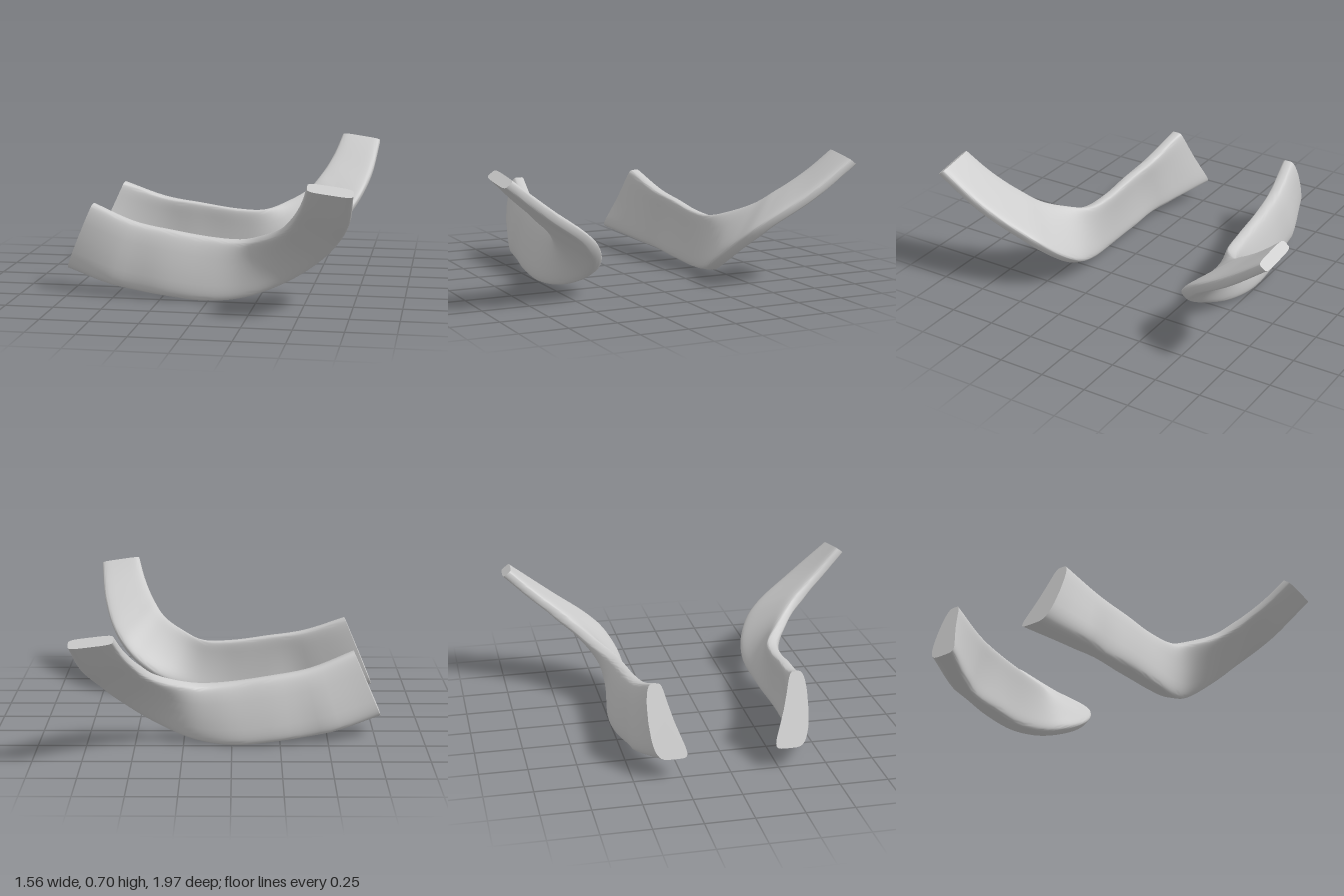
import * as THREE from 'three';
import { toCreasedNormals } from 'three/addons/utils/BufferGeometryUtils.js';

// Each station: upper edge xyz, lower edge xyz, upper thickness, lower thickness, tilt (degrees)
const STATIONS = [
  [-0.63, 0.47, 0.365, -0.78, 0.115, 0.295, 0.08, 0.18, 0],
  [-0.40, 0.385, 0.40, -0.50, 0.05, 0.41, 0.08, 0.14, 0],
  [-0.20, 0.35, 0.42, -0.22, 0.015, 0.45, 0.075, 0.125, 2],
  [0.01, 0.32, 0.43, 0.00, 0.0, 0.455, 0.075, 0.115, 5],
  [0.17, 0.315, 0.46, 0.20, 0.025, 0.42, 0.08, 0.10, 15],
  [0.29, 0.35, 0.54, 0.41, 0.11, 0.37, 0.075, 0.09, 30],
  [0.395, 0.405, 0.625, 0.56, 0.215, 0.40, 0.07, 0.08, 36],
  [0.465, 0.485, 0.73, 0.665, 0.33, 0.50, 0.07, 0.075, 37],
  [0.52, 0.58, 0.85, 0.745, 0.48, 0.72, 0.065, 0.07, 37],
  [0.56, 0.685, 0.965, 0.78, 0.655, 0.955, 0.06, 0.06, 37],
];
const STEPS = 48, RING = 40;

// Smooth curve through one column triple of the stations
const curve = (pick) => new THREE.CatmullRomCurve3(STATIONS.map((s) => new THREE.Vector3(...pick(s))));
const upper = curve((s) => s.slice(0, 3));
const lower = curve((s) => s.slice(3, 6));
const shape = curve((s) => s.slice(6, 9));

// Rounded-rectangle cross-section
const soften = (v, e) => Math.sign(v) * Math.pow(Math.abs(v), e);

function bandGeometry(side) {
  const pos = [], index = [];
  const put = (v) => pos.push(v.x, v.y, v.z * side);
  const tri = (a, b, c) => (side > 0 ? index.push(a, b, c) : index.push(a, c, b));
  const mids = [];

  for (let i = 0; i <= STEPS; i++) {
    const t = i / STEPS;
    const u = upper.getPoint(t), l = lower.getPoint(t), k = shape.getPoint(t);
    const tilt = THREE.MathUtils.degToRad(k.z);
    const normal = new THREE.Vector3(0, -Math.sin(tilt), Math.cos(tilt));
    const mid = u.clone().add(l).multiplyScalar(0.5);
    const half = u.clone().sub(l).multiplyScalar(0.5);
    mids.push(mid);
    for (let j = 0; j < RING; j++) {
      const a = (j / RING) * Math.PI * 2;
      const across = soften(Math.cos(a), 0.45);
      const thick = THREE.MathUtils.lerp(k.y, k.x, (across + 1) / 2) / 2;
      // the straight part bows outward a little
      const bow = 0.018 * (1 - across * across) * (1 - t);
      put(mid.clone().addScaledVector(half, across)
        .addScaledVector(normal, thick * soften(Math.sin(a), 0.4) + bow));
    }
  }
  for (let i = 0; i < STEPS; i++) {
    for (let j = 0; j < RING; j++) {
      const a = i * RING + j, b = i * RING + (j + 1) % RING;
      tri(a, b, b + RING);
      tri(a, b + RING, a + RING);
    }
  }
  // End caps
  const first = pos.length / 3, end = STEPS * RING;
  put(mids[0]);
  put(mids[STEPS]);
  for (let j = 0; j < RING; j++) {
    const n = (j + 1) % RING;
    tri(first, n, j);
    tri(first + 1, end + j, end + n);
  }
  const geometry = new THREE.BufferGeometry();
  geometry.setAttribute('position', new THREE.Float32BufferAttribute(pos, 3));
  geometry.setIndex(index);
  return toCreasedNormals(geometry, 0.7);
}

export function createModel() {
  const model = new THREE.Group();
  model.name = 'curvedBandPair';
  const material = new THREE.MeshStandardMaterial({ color: 0xcccccc });
  // Two mirrored twisting bands
  for (const [name, side] of [['frontBand', 1], ['backBand', -1]]) {
    const band = new THREE.Mesh(bandGeometry(side), material);
    band.name = name;
    model.add(band);
  }
  return model;
}
